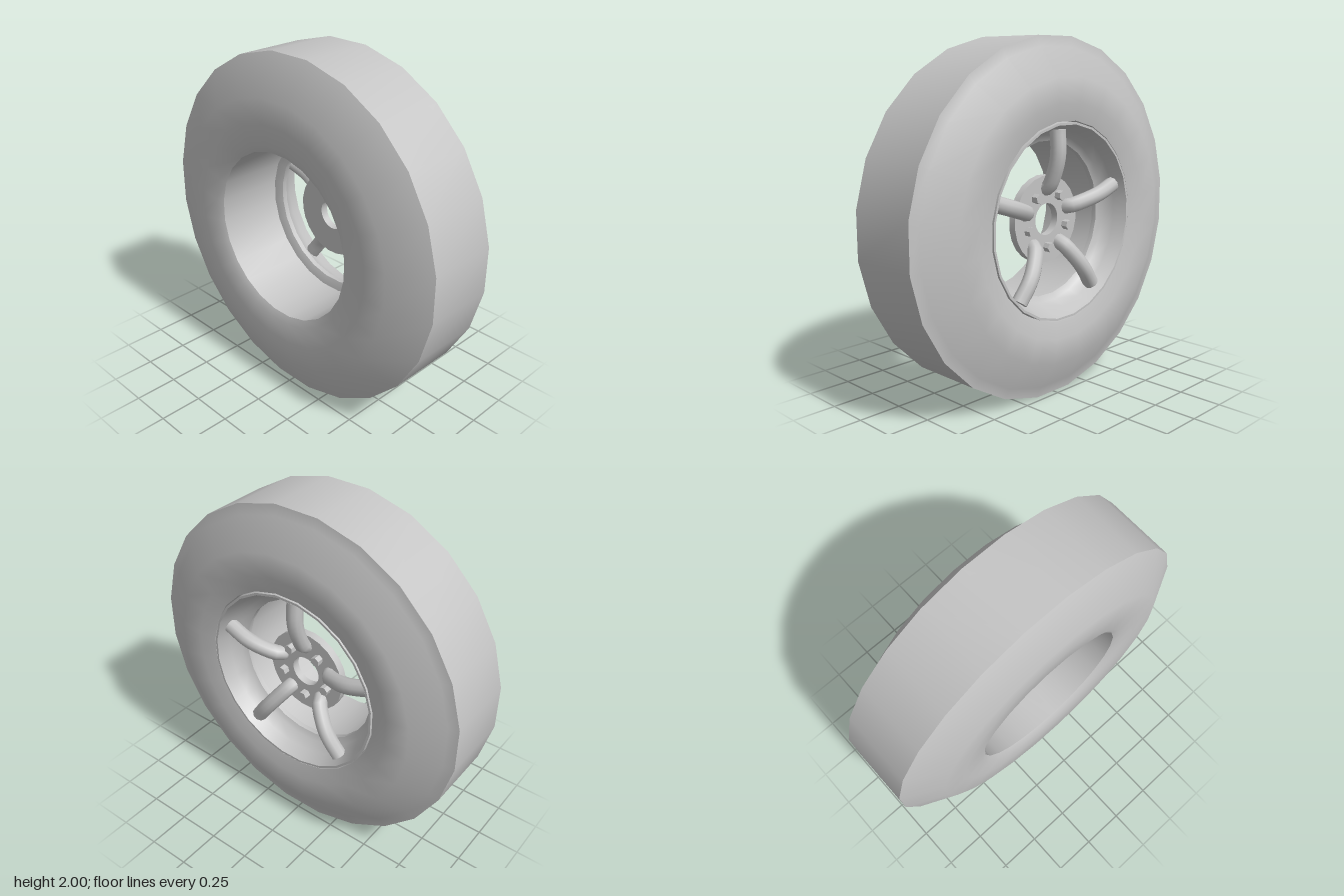
import * as THREE from 'three';
import { toCreasedNormals } from 'three/addons/utils/BufferGeometryUtils.js';

const SIDES = 24;

export function createModel() {
  const model = new THREE.Group();
  model.name = 'wheel';
  const grey = new THREE.MeshStandardMaterial({ color: 0xc4c4c4 });
  grey.name = 'grey';

  const add = (name, geometry) => {
    const mesh = new THREE.Mesh(geometry, grey);
    mesh.name = name;
    mesh.position.y = 1;
    model.add(mesh);
    return mesh;
  };

  // Closed ring turned around the x axle from [radius, x] points
  const ring = (name, profile) => {
    const points = [...profile, profile[0]].map(([r, x]) => new THREE.Vector2(r, x));
    const geometry = new THREE.LatheGeometry(points, SIDES, Math.PI / SIDES);
    geometry.rotateZ(-Math.PI / 2);
    return add(name, toCreasedNormals(geometry, 0.7));
  };

  // Tyre with bulging sidewalls and the inner barrel
  ring('tyre', [
    [0.49, -0.3], [0.53, -0.32], [0.65, -0.325], [0.787, -0.325],
    [1.0086, -0.213], [1.0086, 0.213], [0.95, 0.225],
    [0.787, 0.325], [0.65, 0.322], [0.555, 0.3], [0.555, 0.1], [0.49, 0.1],
  ]);

  // Flared rim on the outer side
  ring('rim', [
    [0.49, 0.1], [0.548, 0.1], [0.548, 0.305], [0.535, 0.305],
    [0.505, 0.23], [0.475, 0.17], [0.44, 0.15], [0.44, 0.12],
  ]);

  // Hub plate with centre bore
  ring('hub', [[0.09, 0.11], [0.248, 0.11], [0.248, 0.155], [0.09, 0.155]]);

  // Bent spokes from hub to rim, with a bolt between each pair
  const path = new THREE.CatmullRomCurve3([
    [0.125, 0.172], [0.17, 0.185], [0.215, 0.27], [0.24, 0.37], [0.235, 0.505],
  ].map(([x, y]) => new THREE.Vector3(x, y, 0)));
  const spoke = new THREE.TubeGeometry(path, 12, 0.045, 10);
  const spokeEnd = new THREE.CircleGeometry(0.045, 10);
  spokeEnd.rotateX(-Math.PI / 2).translate(0.235, 0.505, 0);
  const bolt = new THREE.CylinderGeometry(0.028, 0.028, 0.045, 6);
  bolt.rotateZ(-Math.PI / 2).translate(0.172, 0.157, 0);
  const boltGeometry = toCreasedNormals(bolt, 0.5);

  for (let i = 0; i < 5; i++) {
    const angle = (i * Math.PI * 2) / 5;
    add('spoke', spoke).rotation.x = angle;
    add('spokeEnd', spokeEnd).rotation.x = angle;
    add('bolt', boltGeometry).rotation.x = angle + Math.PI / 5;
  }
  return model;
}
